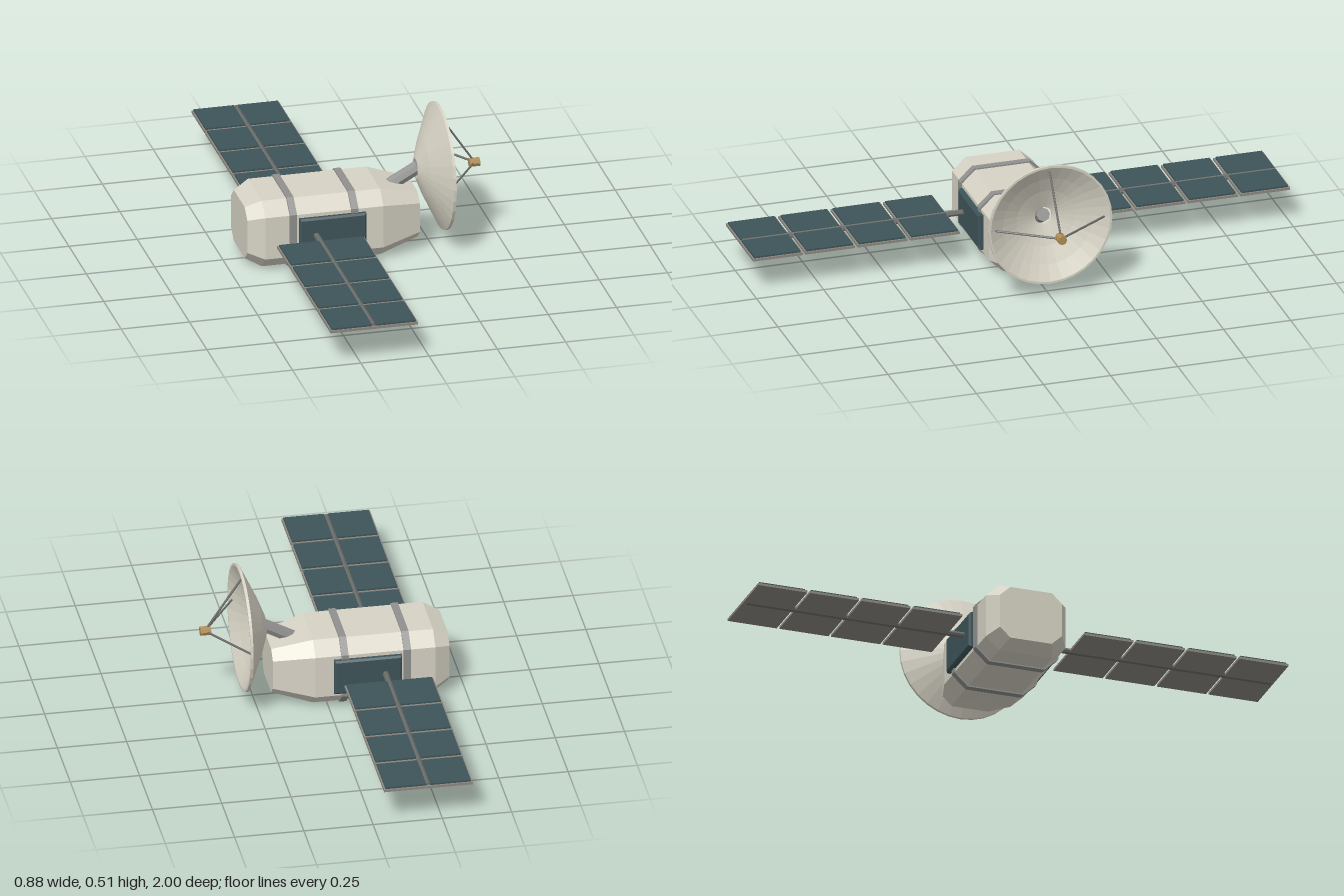
import * as THREE from 'three';

const mat = (name, color) => Object.assign(new THREE.MeshStandardMaterial({ color }), { name });

export function createModel() {
  const hull = mat('hullCream', 0xd6d2c4);
  const grey = mat('metalGrey', 0x90908e);
  const dark = mat('strutGrey', 0x6c6c6a);
  const teal = mat('cellTeal', 0x3e5459);
  const frameMat = mat('frameGrey', 0x8c8880);
  const gold = mat('feedGold', 0xb08d57);

  const root = new THREE.Group();
  root.name = 'satellite';
  const CY = 0.133, WING_X = -0.2;

  // faceted shading for every part
  const flat = (g) => {
    const f = g.index ? g.toNonIndexed() : g;
    f.computeVertexNormals();
    return f;
  };
  const add = (parent, name, geo, material, x = 0, y = 0, z = 0) => {
    const m = new THREE.Mesh(flat(geo), material);
    m.name = name;
    m.position.set(x, y, z);
    parent.add(m);
    return m;
  };
  const rod = (parent, name, a, b, r, sides, material) => {
    const from = new THREE.Vector3(...a), to = new THREE.Vector3(...b);
    const dir = to.clone().sub(from);
    const m = add(parent, name, new THREE.CylinderGeometry(r, r, dir.length(), sides), material);
    m.position.copy(from).add(to).multiplyScalar(0.5);
    m.quaternion.setFromUnitVectors(new THREE.Vector3(0, 1, 0), dir.normalize());
    return m;
  };

  // chamfered cross-section [y, z], lofted along x through [x, scale] stations
  const ring = [[0.127, -0.1], [0.127, 0.1], [0.08, 0.15], [-0.08, 0.15],
    [-0.127, 0.1], [-0.127, -0.1], [-0.08, -0.15], [0.08, -0.15]];
  const loft = (stations) => {
    const n = ring.length, pos = [], idx = [];
    for (const [x, s] of stations) for (const [y, z] of ring) pos.push(x, y * s, z * s);
    for (let k = 0; k < stations.length - 1; k++) {
      for (let i = 0; i < n; i++) {
        const a = k * n + i, b = k * n + (i + 1) % n;
        idx.push(a, b, b + n, a, b + n, a + n);
      }
    }
    const last = (stations.length - 1) * n;
    for (let i = 1; i < n - 1; i++) {
      idx.push(0, i + 1, i, last, last + i, last + i + 1);
    }
    const g = new THREE.BufferGeometry();
    g.setAttribute('position', new THREE.Float32BufferAttribute(pos, 3));
    g.setIndex(idx);
    return g;
  };

  // hull and its two bands
  add(root, 'hull', loft([[-0.44, 0.78], [-0.383, 1], [0.05, 1], [0.195, 0.69]]), hull, 0, CY, 0);
  for (const x of [-0.281, -0.056]) {
    add(root, 'hullBand', loft([[x - 0.013, 1.04], [x + 0.013, 1.04]]), grey, 0, CY, 0);
  }

  // bevelled side plate, face towards +z
  const sidePlate = () => {
    const w = 0.115, h = 0.06;
    const s = new THREE.Shape([[-w, -h], [w, -h], [w, h], [-w, h]].map((p) => new THREE.Vector2(...p)));
    return new THREE.ExtrudeGeometry(s, {
      depth: 0.024, bevelEnabled: true, bevelSize: 0.007, bevelThickness: 0.006, bevelSegments: 1,
    });
  };

  // one wing on each side: plate, boom and four panels of two cells
  for (const side of [1, -1]) {
    const wing = new THREE.Group();
    wing.name = side > 0 ? 'frontWing' : 'backWing';
    root.add(wing);
    const plate = add(wing, 'sidePlate', sidePlate(), teal, -0.138, CY, side * 0.138);
    if (side < 0) plate.rotation.y = Math.PI;
    rod(wing, 'boom', [WING_X, CY + 0.001, side * 0.14], [WING_X, CY + 0.001, side * 0.99], 0.011, 8, dark);
    for (let i = 0; i < 4; i++) {
      const z = side * (0.3225 + i * 0.195);
      add(wing, 'panelFrame', new THREE.BoxGeometry(0.32, 0.009, 0.185), frameMat, WING_X, 0.1325, z);
      for (const s of [-1, 1]) {
        add(wing, 'solarCell', new THREE.BoxGeometry(0.147, 0.007, 0.173), teal, WING_X + s * 0.0805, 0.14, z);
      }
    }
  }

  // dish: closed shell around a small centre opening
  const dish = new THREE.Group();
  dish.name = 'dishAssembly';
  dish.position.y = 0.28;
  root.add(dish);
  const profile = [[0.032, 0.205], [0.04, 0.205], [0.11, 0.232], [0.17, 0.26], [0.23, 0.288], [0.23, 0.298],
    [0.222, 0.298], [0.168, 0.268], [0.108, 0.24], [0.032, 0.213], [0.032, 0.205]];
  const shell = new THREE.LatheGeometry(profile.map((p) => new THREE.Vector2(...p)), 32);
  shell.rotateZ(-Math.PI / 2);
  add(dish, 'dish', shell, hull);

  // feed horn on three struts
  const feed = new THREE.CylinderGeometry(0.017, 0.017, 0.038, 8);
  feed.rotateZ(-Math.PI / 2);
  add(dish, 'feedHorn', feed, gold, 0.42, 0, 0);
  for (const [y, z] of [[1, 0], [0, 1], [0, -1]]) {
    rod(dish, 'feedStrut', [0.285, y * 0.205, z * 0.205], [0.415, y * 0.01, z * 0.01], 0.004, 6, dark);
  }

  // arm from hull to dish
  rod(root, 'dishArm', [0.08, 0.21, 0], [0.212, 0.283, 0], 0.025, 8, grey);

  return root;
}
